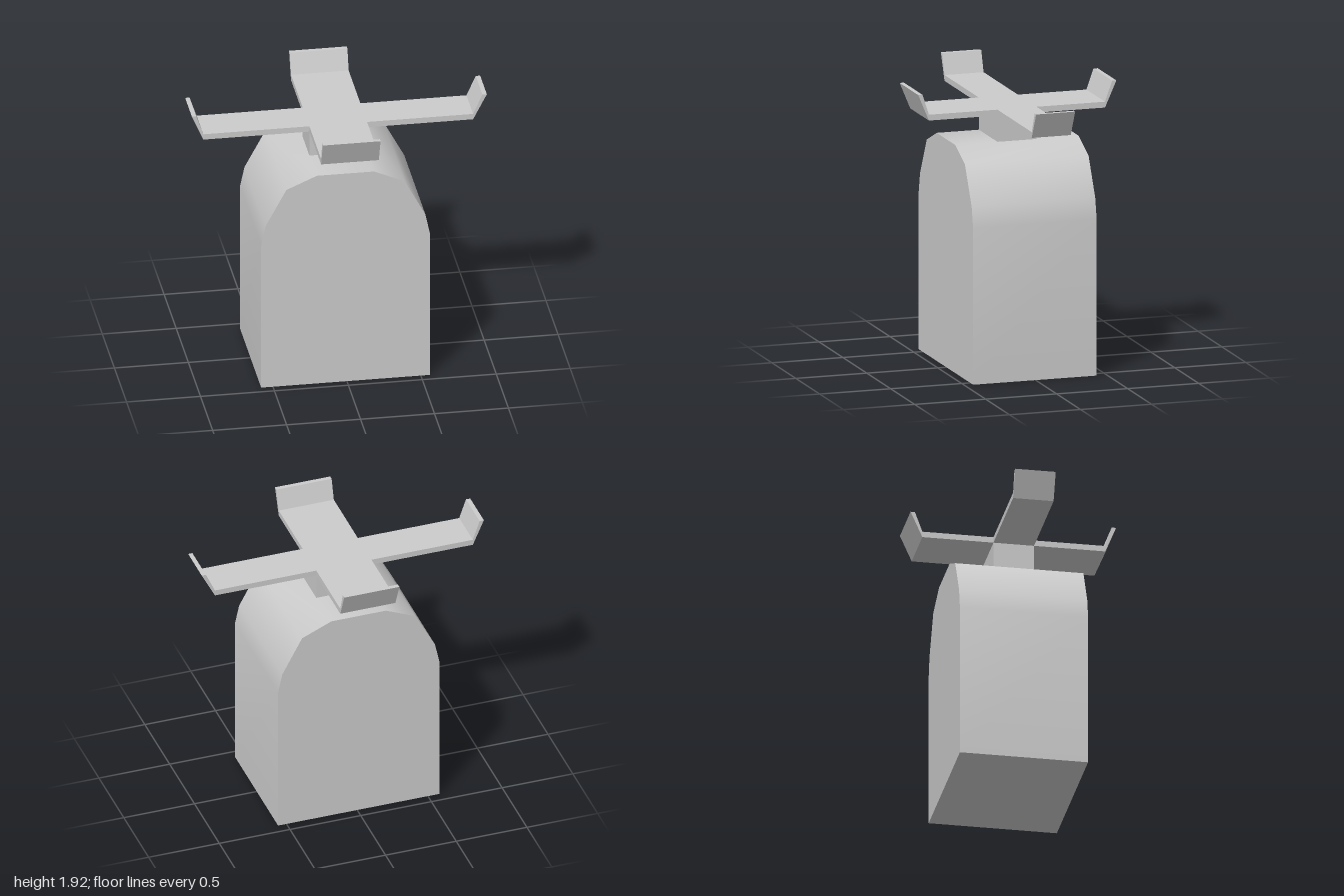
import * as THREE from 'three';
import { toCreasedNormals } from 'three/addons/utils/BufferGeometryUtils.js';

const grey = new THREE.MeshStandardMaterial({ color: 0xcccccc });

// Shared centre line of body, neck and rotor
const CX = -0.01, CZ = 0.005;
const PLATE_BOTTOM = 1.74, PLATE_TOP = 1.78, TIP_TOP = 1.92;
const ARM_X = 0.39;   // width of the front/back arms
const ARM_Z = 0.275;  // width of the side arms

const shapeOf = (points) => new THREE.Shape(points.map(([x, y]) => new THREE.Vector2(x, y)));

// Extrudes an outline, centred on its depth
function extrude(points, depth) {
  const geometry = new THREE.ExtrudeGeometry(shapeOf(points), { depth, bevelEnabled: false });
  return geometry.translate(0, 0, -depth / 2);
}

function addPart(parent, name, geometry, x = 0, y = 0, z = 0) {
  const mesh = new THREE.Mesh(geometry, grey);
  mesh.name = name;
  mesh.position.set(x, y, z);
  parent.add(mesh);
  return mesh;
}

export function createModel() {
  const model = new THREE.Group();
  model.name = 'model';

  // Arched body: mirrored half outline, smooth over the shoulders
  const half = [[0.57, 0], [0.57, 1.07], [0.54, 1.21], [0.4, 1.47], [0.193, 1.56]];
  const outline = [...half, ...half.map(([x, y]) => [-x, y]).reverse()];
  addPart(model, 'body', toCreasedNormals(extrude(outline, 0.87), 0.8), CX, 0, CZ);

  // Neck between body and rotor
  const neckHeight = PLATE_BOTTOM - 1.56;
  addPart(model, 'neck', new THREE.BoxGeometry(ARM_X, neckHeight, ARM_Z), CX, 1.56 + neckHeight / 2, CZ);

  // Rotor: flat cross plate with an upturned blade on each arm
  const rotor = new THREE.Group();
  rotor.name = 'rotor';
  model.add(rotor);

  const a = ARM_X / 2, b = ARM_Z / 2, rx = 0.912, rz = 0.62;
  const cross = [
    [rx, -b], [rx, b], [a, b], [a, rz], [-a, rz], [-a, b],
    [-rx, b], [-rx, -b], [-a, -b], [-a, -rz], [a, -rz], [a, -b],
  ];
  const plate = extrude(cross, PLATE_TOP - PLATE_BOTTOM).rotateX(-Math.PI / 2);
  addPart(rotor, 'crossPlate', plate, CX, (PLATE_TOP + PLATE_BOTTOM) / 2, CZ);

  // Blade section: root at the arm end, leaning outward to the tip
  const blades = [
    ['leftBlade', 0, rx, 1.005, ARM_Z],
    ['rightBlade', Math.PI, rx, 0.99, ARM_Z],
    ['frontBlade', -Math.PI / 2, rz, 0.695, ARM_X],
    ['backBlade', Math.PI / 2, rz, 0.7, ARM_X],
  ];
  for (const [name, angle, root, tip, width] of blades) {
    const section = [[root, PLATE_BOTTOM], [tip, TIP_TOP], [tip - 0.03, TIP_TOP], [root, PLATE_TOP]];
    addPart(rotor, name, extrude(section, width), CX, 0, CZ).rotation.y = angle;
  }

  return model;
}
